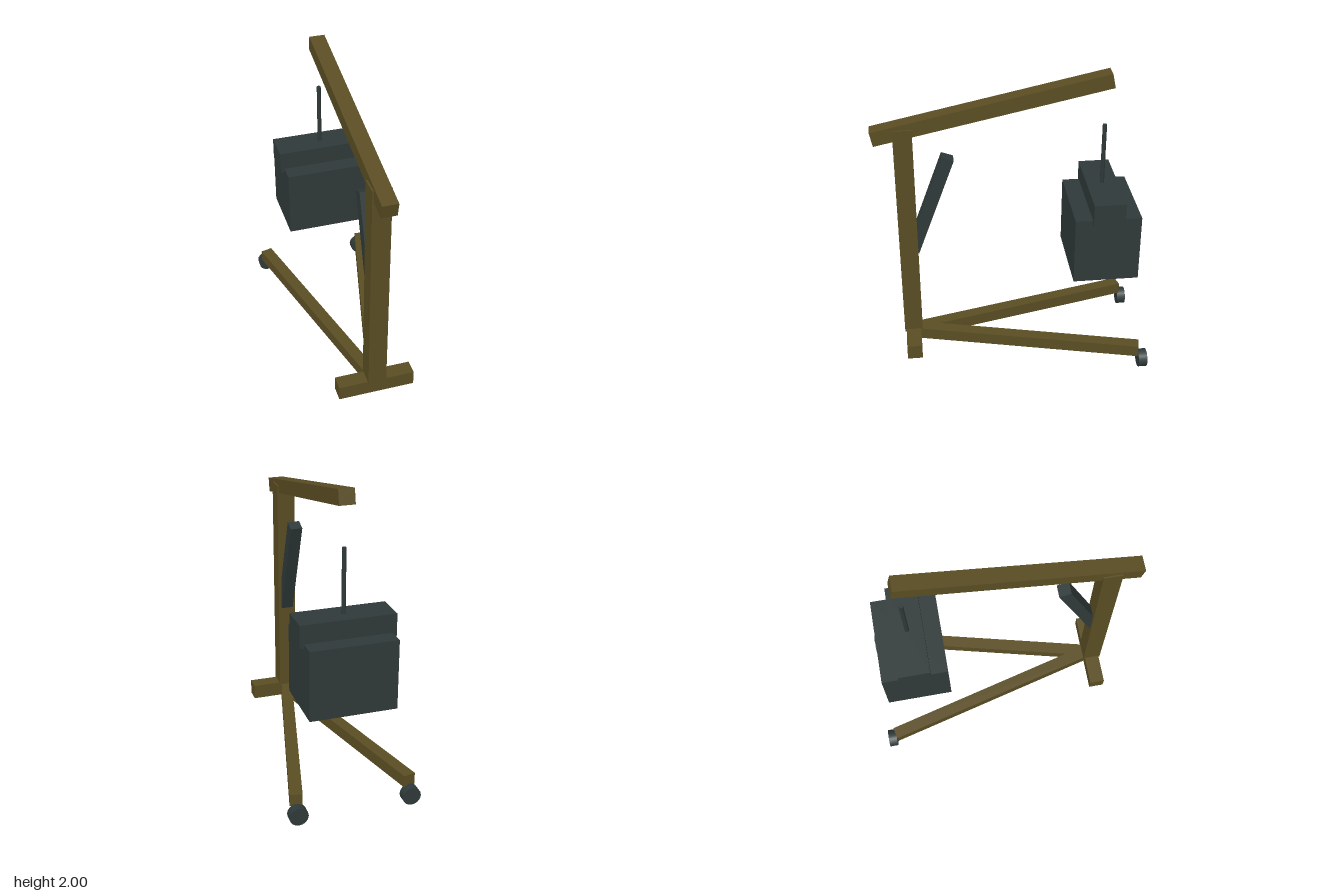
import * as THREE from 'three';

export function createModel() {
  const model = new THREE.Group();
  const olive = new THREE.MeshStandardMaterial({ color: 0x5a4d23 });
  olive.name = 'olive frame paint';
  const slate = new THREE.MeshStandardMaterial({ color: 0x2f3939 });
  slate.name = 'dark slate metal';

  function add(name, geometry, material, [x, y, z]) {
    const mesh = new THREE.Mesh(geometry, material);
    mesh.name = name;
    mesh.position.set(x, y, z);
    model.add(mesh);
    return mesh;
  }
  const box = (name, size, material, position) =>
    add(name, new THREE.BoxGeometry(...size), material, position);

  // Upright frame: foot bar, post and sloping boom
  box('footBar', [0.505, 0.1, 0.1], olive, [0, 0.145, 0.677]);
  box('post', [0.12, 1.515, 0.12], olive, [0, 0.935, 0.677]);
  box('boom', [0.1, 0.095, 1.523], olive, [0, 1.796, 0.122]).rotation.x = 0.21;

  // Lifting ram leaning out of the post
  box('ram', [0.08, 0.71, 0.08], slate, [0, 1.14, 0.527]).rotation.x = -0.353;

  // Splayed legs, each with a wheel at its end
  const start = new THREE.Vector2(0, 0.66);
  for (const side of [-1, 1]) {
    const end = new THREE.Vector2(side * 0.37, -0.818);
    const mid = start.clone().add(end).multiplyScalar(0.5);
    const leg = box('leg', [0.08, 0.08, start.distanceTo(end)], olive, [mid.x, 0.145, mid.y]);
    leg.rotation.y = Math.atan2(start.x - end.x, start.y - end.y);

    const wheelShape = new THREE.CylinderGeometry(0.06, 0.06, 0.058, 16).rotateX(Math.PI / 2);
    add('wheel', wheelShape, slate, [side * 0.367, 0.06, -0.845]);
  }

  // Hanging load: block, head and lifting rod
  box('loadBlock', [0.555, 0.453, 0.425], slate, [0, 0.884, -0.588]);
  box('loadHead', [0.607, 0.147, 0.203], slate, [0, 1.158, -0.588]);
  add('liftRod', new THREE.CylinderGeometry(0.014, 0.014, 0.445, 8), slate, [0, 1.422, -0.588]);

  return model;
}
